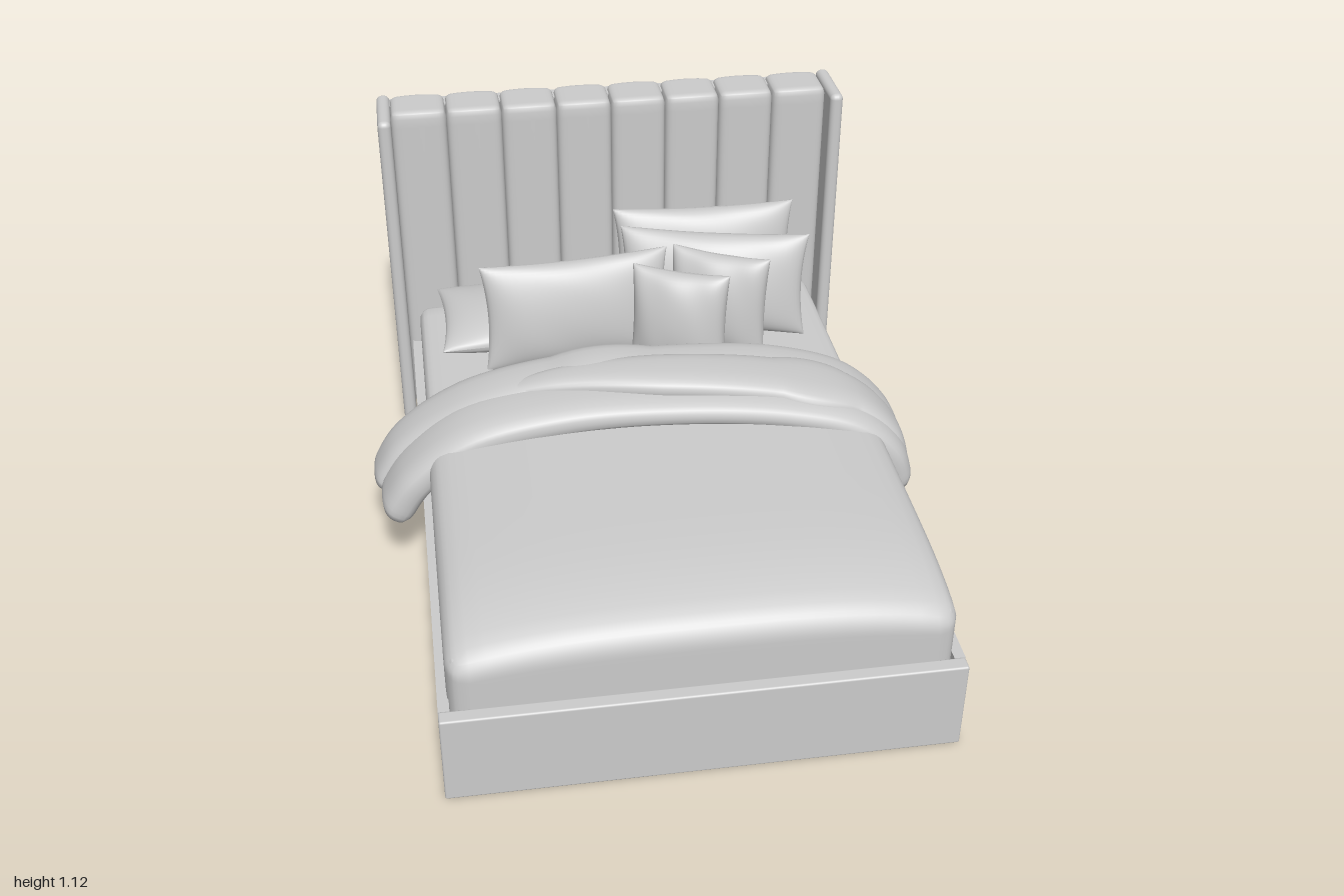
import * as THREE from 'three';
import { mergeVertices, mergeGeometries } from 'three/addons/utils/BufferGeometryUtils.js';
import { RoundedBoxGeometry } from 'three/addons/geometries/RoundedBoxGeometry.js';

const grey = new THREE.MeshStandardMaterial({ color: 0xcccccc, side: THREE.DoubleSide });

function add(parent, name, geometry, x = 0, y = 0, z = 0) {
  const mesh = new THREE.Mesh(geometry, grey);
  mesh.name = name;
  mesh.position.set(x, y, z);
  parent.add(mesh);
  return mesh;
}

// Move every vertex by a rule, then rebuild smooth normals
function reshape(geometry, rule) {
  geometry.deleteAttribute('normal');
  geometry.deleteAttribute('uv');
  const g = mergeVertices(geometry, 1e-5);
  const pos = g.attributes.position, v = new THREE.Vector3();
  for (let i = 0; i < pos.count; i++) {
    rule(v.fromBufferAttribute(pos, i));
    pos.setXYZ(i, v.x, v.y, v.z);
  }
  g.computeVertexNormals();
  return g;
}

// Box given by its limits
function box(parent, name, [x0, x1], [y0, y1], [z0, z1]) {
  return add(parent, name, new THREE.BoxGeometry(x1 - x0, y1 - y0, z1 - z0),
    (x0 + x1) / 2, (y0 + y1) / 2, (z0 + z1) / 2);
}

// Upholstered box with rounded edges and an optional extra rule
function softBox(parent, name, [x0, x1], [y0, y1], [z0, z1], r, extra = () => {}) {
  const half = new THREE.Vector3(x1 - x0, y1 - y0, z1 - z0).multiplyScalar(0.5);
  const inner = half.clone().subScalar(r), core = new THREE.Vector3();
  const g = reshape(new THREE.BoxGeometry(half.x * 2, half.y * 2, half.z * 2, 22, 22, 22), p => {
    for (const k of ['x', 'y', 'z']) p[k] = half[k] * Math.sin(Math.PI / 2 * p[k] / half[k]);
    core.copy(p).clamp(inner.clone().negate(), inner);
    p.sub(core).setLength(r).add(core);
    extra(p, half);
  });
  return add(parent, name, g, (x0 + x1) / 2, (y0 + y1) / 2, (z0 + z1) / 2);
}

// Pillow: two bulging sheets meeting in a seam, with pointed corners
function pillow(parent, name, w, h, t, [x, y, z], [lean, turn]) {
  const sheet = side => reshape(new THREE.PlaneGeometry(2, 2, 28, 28), p => {
    const u = Math.sin(Math.PI / 2 * p.x), v = Math.sin(Math.PI / 2 * p.y);
    const bulge = Math.pow((1 - u * u) * (1 - v * v), 0.42);
    const crease = 1 + 0.06 * Math.sin(7 * u + 3 * v) * (u * u + v * v);
    p.set(u * w / 2 * (1 - 0.06 * (1 - v * v)), v * h / 2 * (1 - 0.07 * (1 - u * u)),
      t / 2 * bulge * crease);
    if (side < 0) { p.x *= -1; p.z *= -1; }
  });
  const mesh = add(parent, name, mergeGeometries([sheet(1), sheet(-1)]), x, y, z);
  mesh.rotation.set(lean, turn, 0, 'YXZ');
  return mesh;
}

// Draped fold: stations are [x, y, zBack, zFront, thickness]
function drape(parent, name, stations) {
  const path = new THREE.CatmullRomCurve3(
    stations.map(s => new THREE.Vector3(s[0], s[1], (s[2] + s[3]) / 2)));
  const size = new THREE.CatmullRomCurve3(
    stations.map(s => new THREE.Vector3((s[3] - s[2]) / 2, s[4] / 2, 0)));
  const N = 72, M = 28, pos = [], index = [];
  const rounded = c => Math.sign(c) * Math.pow(Math.abs(c), 0.75);
  for (let i = 0; i <= N; i++) {
    const f = i / N, p = path.getPoint(f), s = size.getPoint(f), d = path.getTangent(f);
    const n = new THREE.Vector2(-d.y, d.x).normalize();
    const end = Math.sqrt(Math.max(0, 1 - Math.pow(1 - Math.min(1, Math.min(f, 1 - f) * 24), 2)));
    for (let j = 0; j < M; j++) {
      const a = j / M * Math.PI * 2;
      const up = rounded(Math.cos(a)) * s.y * end;
      pos.push(p.x + n.x * up, p.y + n.y * up, p.z + rounded(Math.sin(a)) * s.x * (0.25 * end + 0.75) * Math.min(1, end * 3));
      if (i < N) {
        const k = (j + 1) % M, A = i * M + j, B = A + M, C = i * M + k, D = C + M;
        index.push(A, C, B, C, D, B);
      }
    }
  }
  const g = new THREE.BufferGeometry();
  g.setAttribute('position', new THREE.Float32BufferAttribute(pos, 3));
  g.setIndex(index);
  g.computeVertexNormals();
  return add(parent, name, g);
}

export function createModel() {
  const bed = new THREE.Group();
  bed.name = 'bed';
  const group = name => {
    const g = new THREE.Group();
    g.name = name;
    bed.add(g);
    return g;
  };

  // Headboard: eight padded channels between two wings
  const headboard = group('headboard');
  const left = -0.68, pitch = 1.41 / 8;
  for (let i = 0; i < 8; i++) {
    const x = left + i * pitch;
    softBox(headboard, 'headboardChannel', [x, x + pitch], [0.01, 1.12], [-0.995, -0.835], 0.022, (p, h) => {
      const u = Math.min(1, Math.abs(p.x / h.x));
      if (p.z > 0) p.z -= 0.012 * u * u;
      if (p.y > 0) p.y -= 0.006 * u * u;
    });
  }
  box(headboard, 'headboardBack', [-0.68, 0.73], [0.005, 1.1], [-1, -0.94]);
  for (const x of [-0.7, 0.75]) {
    add(headboard, 'headboardWing', new RoundedBoxGeometry(0.042, 1.12, 0.23, 5, 0.018), x, 0.56, -0.885);
  }

  // Frame
  const frame = group('frame');
  for (const x of [-0.67, 0.69]) box(frame, 'sideRail', [x, x + 0.03], [0, 0.275], [-0.9, 0.96]);
  add(frame, 'footRail', new RoundedBoxGeometry(1.39, 0.275, 0.042, 3, 0.006), 0.025, 0.1375, 0.979);
  box(frame, 'basePanel', [-0.645, 0.695], [0.01, 0.06], [-0.97, 0.965]);

  // Mattress and the fitted cover with its crowned top
  const bedding = group('bedding');
  softBox(bedding, 'mattress', [-0.64, 0.695], [0.06, 0.425], [-0.835, 0.94], 0.04);
  softBox(bedding, 'cover', [-0.645, 0.7], [0.18, 0.52], [-0.16, 0.962], 0.065, (p, h) => {
    const u = Math.abs(p.x / h.x), w = Math.max(0, p.z / h.z);
    const drop = 0.055 * u ** 3 + 0.06 * w ** 4;
    p.y -= drop * (p.y + h.y) / (2 * h.y);
  });

  // Folded throw: back roll, front layer and the diagonal top fold
  const blanket = group('throwBlanket');
  drape(blanket, 'throwBackRoll', [
    [-0.80, 0.25, -0.18, -0.02, 0.07], [-0.71, 0.37, -0.20, -0.02, 0.09], [-0.52, 0.48, -0.215, 0, 0.11],
    [-0.25, 0.535, -0.215, 0, 0.13], [0.05, 0.545, -0.215, 0, 0.13], [0.4, 0.525, -0.21, 0, 0.12],
    [0.63, 0.47, -0.18, 0.01, 0.10], [0.74, 0.38, -0.15, 0.02, 0.09], [0.795, 0.27, -0.13, 0.02, 0.07]]);
  drape(blanket, 'throwFrontLayer', [
    [-0.765, 0.23, -0.07, 0.12, 0.11], [-0.68, 0.36, -0.09, 0.13, 0.11], [-0.52, 0.475, -0.1, 0.13, 0.11],
    [-0.25, 0.535, -0.1, 0.13, 0.10], [0.05, 0.545, -0.1, 0.14, 0.09], [0.4, 0.525, -0.08, 0.175, 0.09],
    [0.62, 0.465, -0.05, 0.2, 0.10], [0.72, 0.37, -0.02, 0.205, 0.11], [0.768, 0.24, 0, 0.195, 0.10]]);
  drape(blanket, 'throwTopFold', [
    [-0.5, 0.51, -0.10, -0.07, 0.04], [-0.25, 0.575, -0.11, 0.0, 0.07], [0.05, 0.595, -0.11, 0.075, 0.08],
    [0.4, 0.56, -0.10, 0.11, 0.08], [0.62, 0.5, -0.08, 0.13, 0.08], [0.735, 0.4, -0.05, 0.15, 0.08],
    [0.78, 0.29, -0.02, 0.15, 0.06]]);

  // Pillows
  const pillows = group('pillows');
  pillow(pillows, 'flatPillow', 0.6, 0.4, 0.13, [-0.275, 0.475, -0.635], [-Math.PI / 2, 0]);
  pillow(pillows, 'backPillow', 0.6, 0.35, 0.15, [0.315, 0.59, -0.745], [-0.12, -0.03]);
  pillow(pillows, 'middlePillow', 0.61, 0.34, 0.16, [0.315, 0.59, -0.565], [-0.2, -0.24]);
  pillow(pillows, 'leftPillow', 0.6, 0.35, 0.14, [-0.145, 0.59, -0.45], [-0.15, 0.09]);
  pillow(pillows, 'rearCushion', 0.32, 0.35, 0.14, [0.305, 0.595, -0.415], [-0.1, -0.48]);
  pillow(pillows, 'frontCushion', 0.31, 0.35, 0.14, [0.165, 0.59, -0.33], [-0.1, -0.42]);

  return bed;
}
